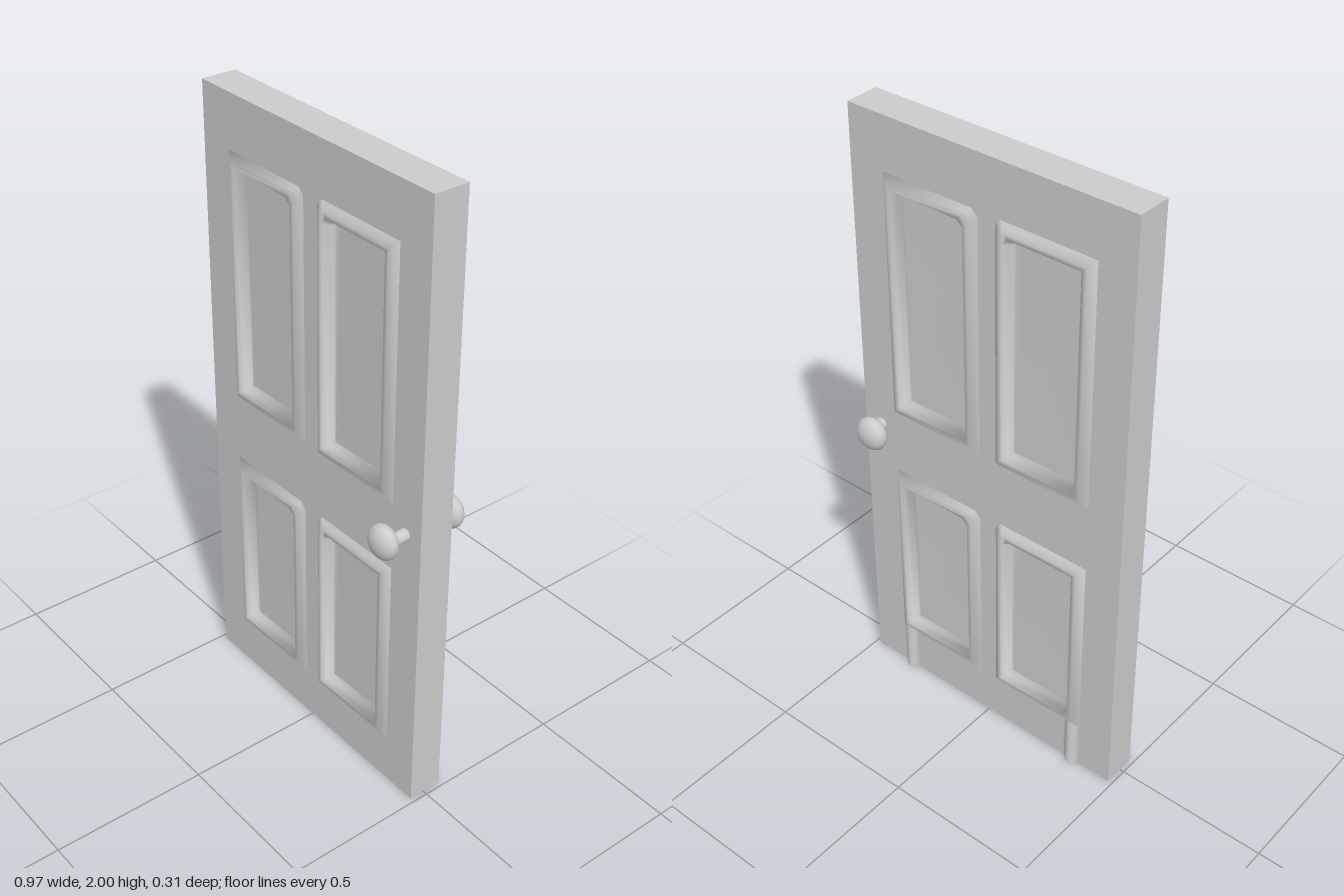
import * as THREE from 'three';

const FRONT = 0.05, BACK = 0.062, HALF_W = 0.485;
// Panel openings, measured at the outer foot of the moulding
const PANELS = [[0.16, 0.81], [1.03, 1.83]].flatMap(([y0, y1]) => [
  { x0: -0.365, x1: -0.03, y0, y1, inner: 1 },
  { x0: 0.03, x1: 0.365, y0, y1, inner: -1 },
]);

// Counter-clockwise outline inset by d, with the top corner by the mullion cut off
function outline({ x0, x1, y0, y1, inner }, d) {
  const l = x0 + d, r = x1 - d, b = y0 + d, t = y1 - d, c = 0.02;
  return inner > 0
    ? [[l, b], [r, b], [r, t - c], [r - c, t], [l, t]]
    : [[l, b], [r, b], [r, t], [l + c, t], [l, t - c]];
}

// Raised moulding falling to a sunken panel, as nested rings
function panelGeometry(panel, base, peak, floor) {
  const profile = [[0, base], [0.012, base + (peak - base) * 0.55], [0.024, peak],
    [0.038, peak], [0.045, base], [0.049, floor + 0.004], [0.055, floor]];
  const pos = [], idx = [], n = 5;
  profile.forEach(([d, z]) => outline(panel, d).forEach(([x, y]) => pos.push(x, y, z)));
  for (let k = 0; k < profile.length - 1; k++) {
    for (let i = 0; i < n; i++) {
      const a = k * n + i, b = k * n + (i + 1) % n;
      idx.push(a, b, b + n, a, b + n, a + n);
    }
  }
  const last = (profile.length - 1) * n;
  for (let i = 1; i < n - 1; i++) idx.push(last, last + i, last + i + 1);
  const g = new THREE.BufferGeometry();
  g.setAttribute('position', new THREE.Float32BufferAttribute(pos, 3));
  g.setIndex(idx);
  g.computeVertexNormals();
  return g;
}

export function createModel() {
  const model = new THREE.Group();
  model.name = 'door';
  const mat = new THREE.MeshStandardMaterial({ color: 0xcccccc });
  const add = (parent, geometry, name) => {
    const mesh = new THREE.Mesh(geometry, mat);
    mesh.name = name;
    parent.add(mesh);
    return mesh;
  };

  // Door slab with four openings
  const slab = new THREE.Shape([[-HALF_W, 0], [HALF_W, 0], [HALF_W, 2], [-HALF_W, 2]]
    .map(([x, y]) => new THREE.Vector2(x, y)));
  for (const p of PANELS) {
    slab.holes.push(new THREE.Path(outline(p, 0.03).map(([x, y]) => new THREE.Vector2(x, y))));
  }
  const slabGeometry = new THREE.ExtrudeGeometry(slab, { depth: FRONT + BACK, bevelEnabled: false });
  slabGeometry.translate(0, 0, -BACK);
  add(model, slabGeometry, 'doorSlab');

  // Moulded panels on both faces
  const front = new THREE.Group(), back = new THREE.Group();
  front.name = 'frontPanels';
  back.name = 'backPanels';
  back.rotation.y = Math.PI;
  model.add(front, back);
  for (const p of PANELS) {
    add(front, panelGeometry(p, FRONT, 0.067, 0.025), 'frontPanel');
    add(back, panelGeometry(p, BACK, 0.08, 0.04), 'backPanel');
  }

  // Back mouldings running down to the foot of the door
  const ridge = new THREE.Shape();
  ridge.moveTo(-0.03, 0);
  ridge.bezierCurveTo(-0.015, 0, -0.015, 0.018, 0, 0.018);
  ridge.bezierCurveTo(0.015, 0.018, 0.015, 0, 0.03, 0);
  const ridgeGeometry = new THREE.ExtrudeGeometry(ridge, { depth: 0.185, bevelEnabled: false, curveSegments: 8 });
  for (const s of [-1, 1]) {
    const foot = add(model, ridgeGeometry, 'backFootMoulding');
    foot.rotation.x = -Math.PI / 2;
    foot.scale.y = -1;
    foot.rotation.set(-Math.PI / 2, 0, 0);
    foot.scale.set(1, 1, 1);
    foot.position.set(s * 0.335, 0, -BACK);
    // Extrusion runs upward, crest faces the back
  }

  // Knobs and stems
  for (const s of [-1, 1]) {
    const handle = new THREE.Group();
    handle.name = s > 0 ? 'frontHandle' : 'backHandle';
    const stem = add(handle, new THREE.CylinderGeometry(0.02, 0.02, 0.085, 20), 'stem');
    stem.rotation.x = Math.PI / 2;
    stem.position.set(0.42, 0.96, s * 0.0825);
    const knob = add(handle, new THREE.SphereGeometry(1, 32, 20), 'knob');
    knob.scale.set(0.054, 0.054, 0.035);
    knob.position.set(0.408, 0.96, s * 0.12);
    model.add(handle);
  }
  return model;
}
